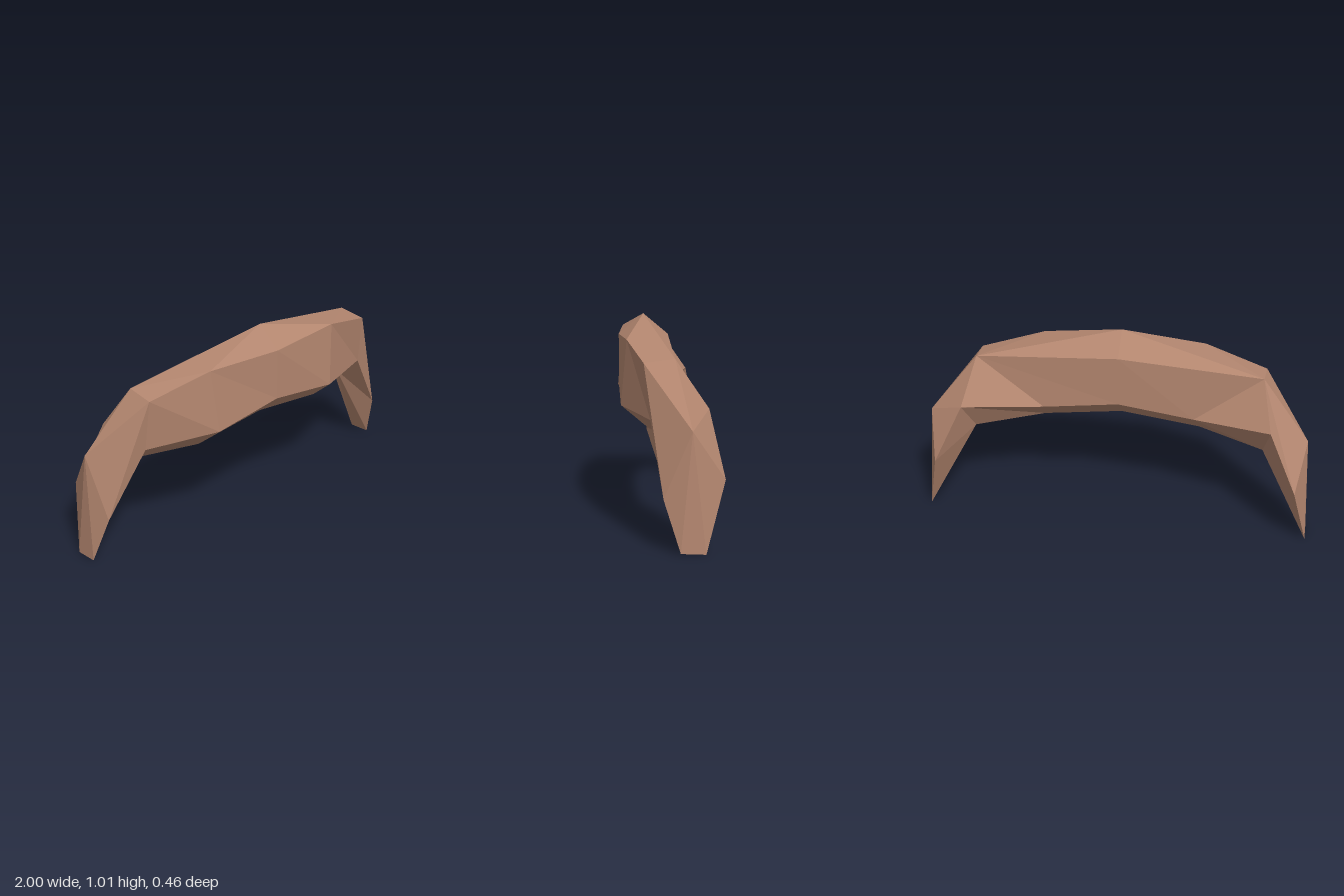
import * as THREE from 'three';

// Corner points of the left half (+x). Rings run from the middle outwards:
// t = top, fu/fl = front upper/lower, b = bottom, bl/bu = back lower/upper.
const P = {
  t0: [0, 1.007, 0.104], fu0: [0, 0.902, 0.23], fl0: [0, 0.64, 0.23],
  b0: [0, 0.528, 0.104], bl0: [0, 0.64, -0.021], bu0: [0, 0.902, -0.021],
  fu1: [0.42, 0.913, 0.2], fl1: [0.39, 0.59, 0.228],
  b1: [0.41, 0.48, 0.095], bl1: [0.39, 0.59, -0.025],
  t2: [0.735, 0.853, -0.015], fu2: [0.74, 0.835, 0.13], fl2: [0.75, 0.573, 0.1],
  b2: [0.75, 0.462, -0.05], bl2: [0.79, 0.63, -0.168],
  // drooping end: outer knee, front, back, and the two tip corners
  o: [0.975, 0.555, -0.08], f: [0.95, 0.243, 0.05], k: [0.93, 0.328, -0.232],
  pf: [1, 0.005, -0.025], pb: [1, 0, -0.14],
};

const BAR = [
  't0 fu0 fu1', 't0 fu1 t2', 'fu1 fu2 t2', 'bu0 t0 t2',
  'fu0 fl0 fl1 fu1', 'fu1 fl1 fl2 fu2',
  'fl0 b0 b1 fl1', 'fl1 b1 b2 fl2',
  'b0 bl0 bl1 b1', 'b1 bl1 bl2 b2',
  'bl0 bu0 t2 bl1', 'bl1 t2 bl2',
];

const END = [
  't2 fu2 o', 'fu2 f o', 'fu2 fl2 f', 'fl2 b2 f', 'b2 pf f', 'b2 pb pf',
  'b2 bl2 k pb', 'bl2 t2 o k', 'o f pf', 'o pf pb', 'o pb k',
];

// Faceted shell from named corners; side = -1 mirrors it across x = 0
function shell(faces, side) {
  const pos = [];
  for (const face of faces) {
    const c = face.split(' ').map((n) => P[n]);
    if (side < 0) c.reverse();
    for (let i = 1; i < c.length - 1; i++) {
      for (const [x, y, z] of [c[0], c[i], c[i + 1]]) pos.push(x * side, y, z);
    }
  }
  const g = new THREE.BufferGeometry();
  g.setAttribute('position', new THREE.Float32BufferAttribute(pos, 3));
  g.computeVertexNormals();
  return g;
}

export function createModel() {
  const group = new THREE.Group();
  group.name = 'moustache';
  const brown = new THREE.MeshStandardMaterial({ color: 0xb3866f });
  brown.name = 'brown';
  brown.flatShading = true;

  for (const [label, side] of [['left', 1], ['right', -1]]) {
    for (const [part, faces] of [['Bar', BAR], ['End', END]]) {
      const mesh = new THREE.Mesh(shell(faces, side), brown);
      mesh.name = label + part;
      group.add(mesh);
    }
  }
  return group;
}
